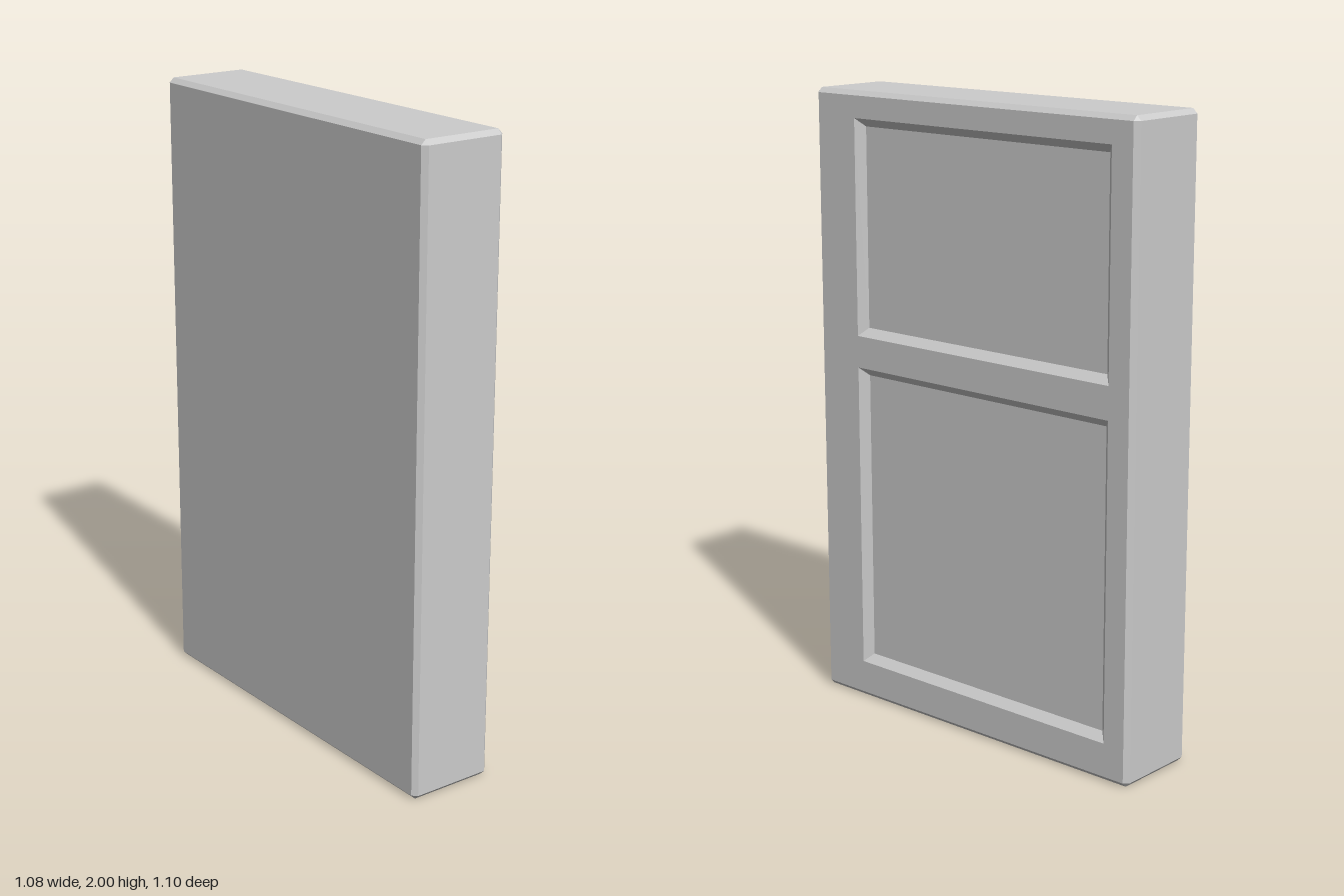
import * as THREE from 'three';

const W = 1.282, H = 2, T = 0.289; // slab width, height, thickness
const C = 0.015;                   // outer chamfer
const D = 0.026;                   // recess depth, walls slope at 45 degrees
const YAW = THREE.MathUtils.degToRad(133.93);

const material = new THREE.MeshStandardMaterial({ color: 0xcccccc, flatShading: true });

function add(group, name, geometry) {
  const mesh = new THREE.Mesh(geometry, material);
  mesh.name = name;
  group.add(mesh);
  return mesh;
}

// Counter-clockwise rectangle corners
const rect = (x0, y0, x1, y1) =>
  [[x0, y0], [x1, y0], [x1, y1], [x0, y1]].map(([x, y]) => new THREE.Vector2(x, y));

// Joins successive closed rings { points, z } with flat quads
function loft(rings) {
  const pos = [];
  for (let r = 0; r + 1 < rings.length; r++) {
    const a = rings[r], b = rings[r + 1], n = a.points.length;
    for (let i = 0; i < n; i++) {
      const j = (i + 1) % n;
      const corner = (ring, k) => [ring.points[k].x, ring.points[k].y, ring.z];
      const [p, q, s, t] = [corner(a, i), corner(a, j), corner(b, j), corner(b, i)];
      pos.push(...p, ...q, ...s, ...p, ...s, ...t);
    }
  }
  const g = new THREE.BufferGeometry();
  g.setAttribute('position', new THREE.Float32BufferAttribute(pos, 3));
  g.computeVertexNormals();
  return g;
}

export function createModel() {
  const model = new THREE.Group();
  model.name = 'panelledSlab';
  const slab = new THREE.Group();
  slab.name = 'slab';
  slab.position.y = H / 2;
  slab.rotation.y = YAW;
  model.add(slab);

  // Chamfered edge body: octagonal outline closing to a smaller rectangle at each face
  const w = W / 2, h = H / 2, t = T / 2;
  const face = rect(-w + C, -h + C, w - C, h - C);
  const faceRing = face.flatMap((p) => [p, p]);
  const outline = face.flatMap((p, i) => {
    const sx = Math.sign(p.x), sy = Math.sign(p.y);
    const side = new THREE.Vector2(sx * w, p.y), end = new THREE.Vector2(p.x, sy * h);
    return i % 2 ? [end, side] : [side, end];
  });
  add(slab, 'edges', loft([
    { points: faceRing, z: -t }, { points: outline, z: -t + C },
    { points: outline, z: t - C }, { points: faceRing, z: t },
  ]));

  // Plain face
  const plain = add(slab, 'plainFace', new THREE.ShapeGeometry(new THREE.Shape(face)));
  plain.rotation.y = Math.PI;
  plain.position.z = -t;

  // Panelled face with two sloped recesses
  const frame = new THREE.Shape(face);
  const recesses = [['lowerPanel', 0.122, 1.122], ['upperPanel', 1.225, 1.915]];
  for (const [name, y0, y1] of recesses) {
    const x0 = -0.469, x1 = 0.551, b = y0 - h, c = y1 - h;
    const opening = rect(x0, b, x1, c);
    const floor = rect(x0 + D, b + D, x1 - D, c - D);
    frame.holes.push(new THREE.Path(opening));
    add(slab, name + 'Bevel', loft([{ points: opening, z: t }, { points: floor, z: t - D }]));
    add(slab, name, new THREE.ShapeGeometry(new THREE.Shape(floor))).position.z = t - D;
  }
  add(slab, 'panelFrame', new THREE.ShapeGeometry(frame)).position.z = t;

  return model;
}
